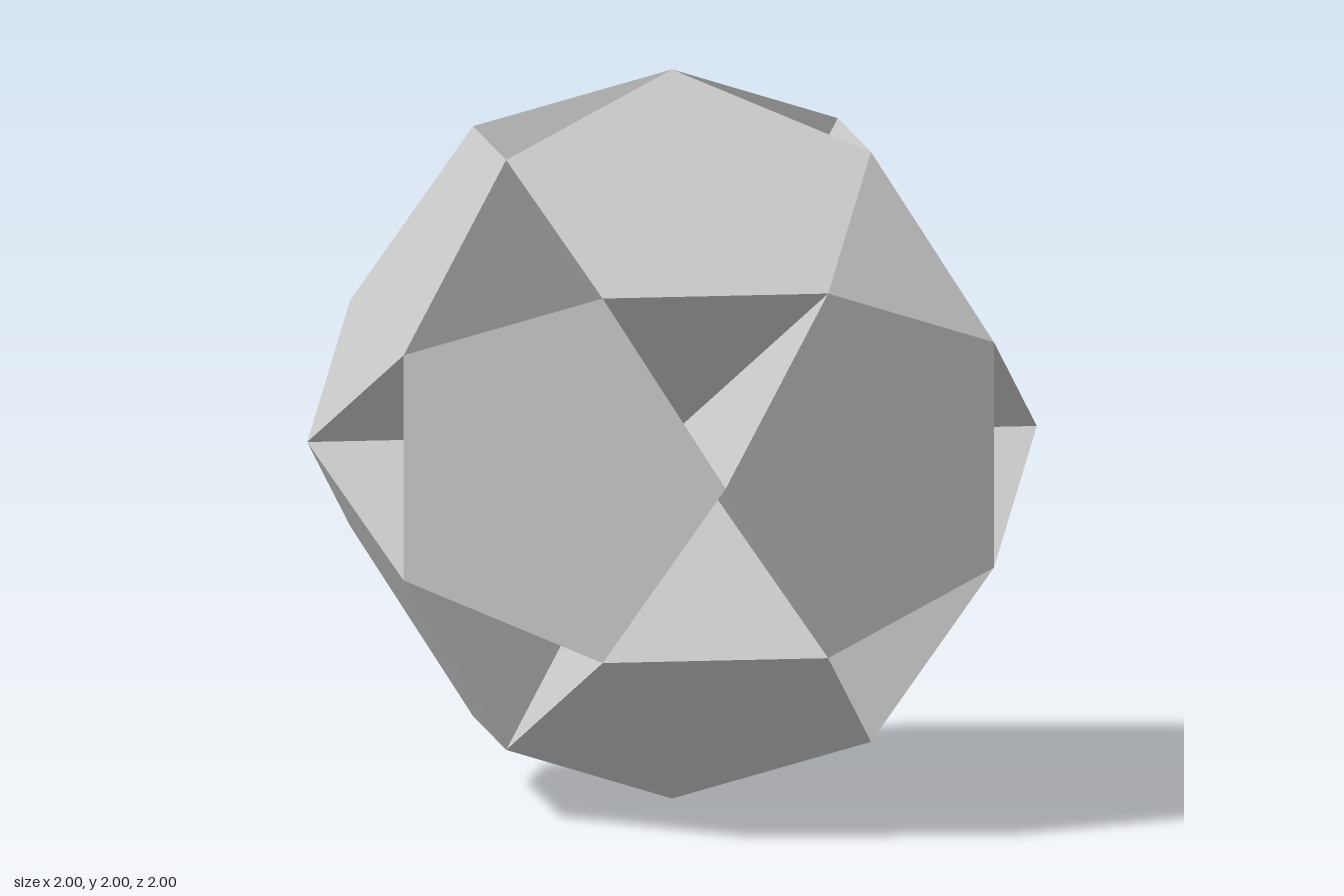
import * as THREE from 'three';

const PHI = (1 + Math.sqrt(5)) / 2;

// Pentagonal pyramid: outer face around `axis`, apex at the solid's centre.
function pyramidGeometry(axis, firstCorner) {
  const centre = new THREE.Vector3();
  const ring = [];
  for (let i = 0; i < 5; i++) {
    ring.push(firstCorner.clone().applyAxisAngle(axis, (i * 2 * Math.PI) / 5));
  }
  const points = [];
  // Outer pentagon
  for (let i = 1; i < 4; i++) points.push(ring[0], ring[i], ring[i + 1]);
  // Sloping walls running in to the centre
  for (let i = 0; i < 5; i++) points.push(centre, ring[(i + 1) % 5], ring[i]);
  const geometry = new THREE.BufferGeometry().setFromPoints(points);
  geometry.computeVertexNormals();
  return geometry;
}

export function createModel() {
  const group = new THREE.Group();
  group.name = 'hollowedPolyhedron';
  const grey = new THREE.MeshStandardMaterial({ color: 0xc8c8c8, flatShading: true });
  grey.name = 'light grey';

  // Twelve pyramids, three mutually perpendicular sets of four
  for (let k = 0; k < 3; k++) {
    for (const a of [1, -1]) {
      for (const b of [1, -1]) {
        const axis = new THREE.Vector3();
        axis.setComponent(k, a * PHI);
        axis.setComponent((k + 1) % 3, b);
        axis.normalize();
        const corner = new THREE.Vector3().setComponent(k, a);
        const mesh = new THREE.Mesh(pyramidGeometry(axis, corner), grey);
        mesh.name = 'pentagonPyramid' + (group.children.length + 1);
        mesh.position.y = 1;
        group.add(mesh);
      }
    }
  }
  return group;
}
